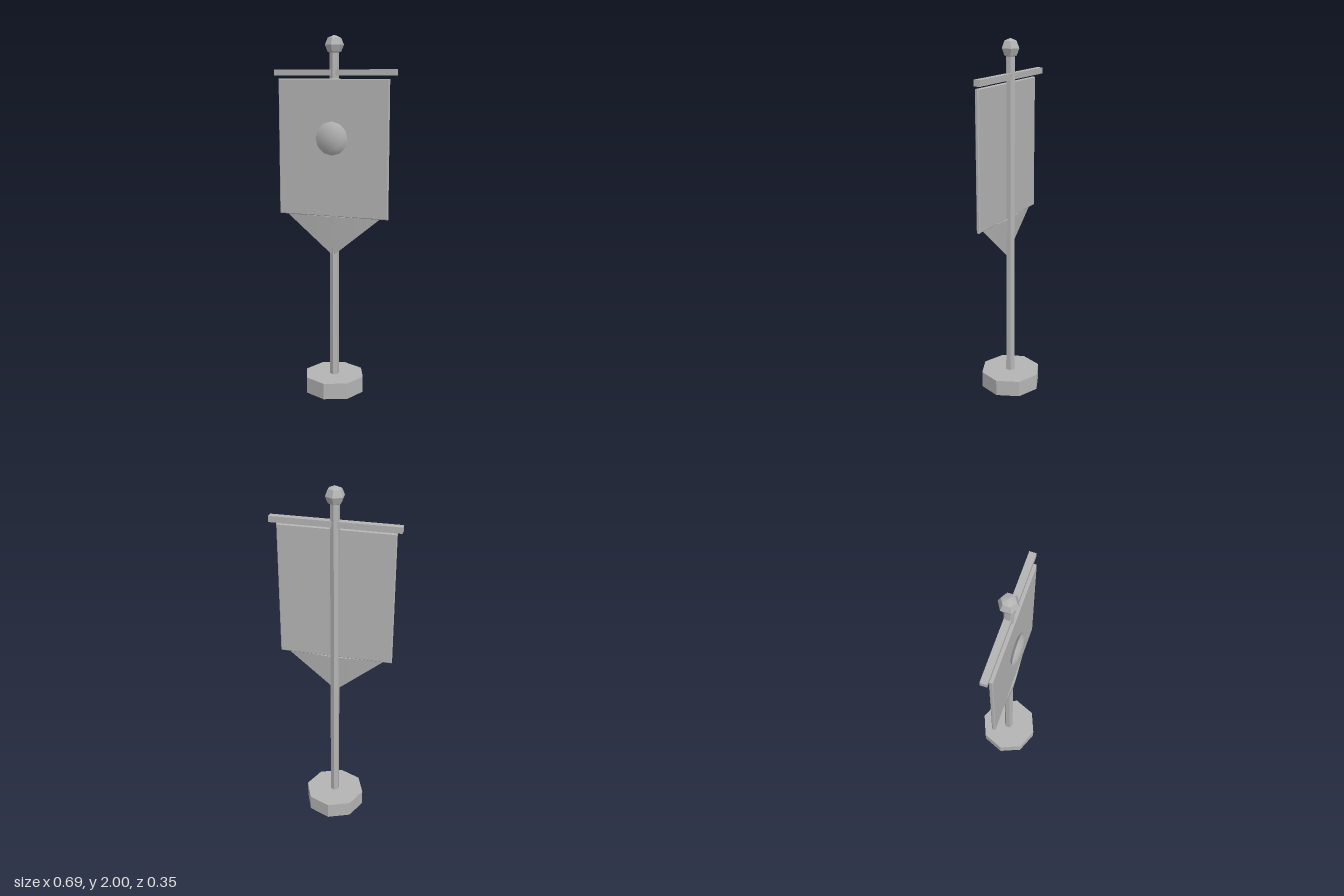
import * as THREE from 'three';
import { toCreasedNormals } from 'three/addons/utils/BufferGeometryUtils.js';

export function createModel() {
  const model = new THREE.Group();
  model.name = 'bannerStand';
  const grey = new THREE.MeshStandardMaterial({ color: 0xb4b4b4 });
  grey.name = 'plain grey';

  // Soft shading over shallow bends, sharp edges elsewhere
  const add = (name, geometry, x, y, z) => {
    const mesh = new THREE.Mesh(toCreasedNormals(geometry, 0.6), grey);
    mesh.name = name;
    mesh.position.set(x, y, z);
    model.add(mesh);
    return mesh;
  };

  // Octagonal foot and hexagonal pole
  add('base', new THREE.CylinderGeometry(0.173, 0.173, 0.092, 8), 0, 0.046, 0);
  add('pole', new THREE.CylinderGeometry(0.026, 0.026, 1.84, 6), 0, 1.01, 0);

  // Faceted knob on top
  add('finial', new THREE.SphereGeometry(0.052, 6, 4).rotateY(Math.PI / 6), 0, 1.948, 0);

  // Square bar across the pole
  add('crossbar', new THREE.BoxGeometry(0.695, 0.033, 0.036), 0, 1.803, 0);

  // Cloth panel with a narrow bevelled rim
  const w = 0.313, h = 0.371, bevel = 0.004;
  const panel = new THREE.Shape([
    new THREE.Vector2(-w, -h), new THREE.Vector2(w, -h),
    new THREE.Vector2(w, h), new THREE.Vector2(-w, h),
  ]);
  add('banner', new THREE.ExtrudeGeometry(panel, {
    depth: 0.012, bevelThickness: bevel, bevelSize: bevel, bevelSegments: 1,
  }), 0, 1.395, 0.016);

  // Flattened four-sided point hanging below the cloth
  const tip = new THREE.ConeGeometry(0.272, 0.225, 4).rotateX(Math.PI).scale(1, 1, 0.075);
  add('bannerTip', tip, 0, 0.9085, 0.022);

  // Flattened round boss on the cloth
  const boss = new THREE.SphereGeometry(0.092, 12, 4).rotateX(Math.PI / 2).scale(1, 1, 0.29);
  add('emblem', boss, 0, 1.452, 0.046);

  return model;
}
